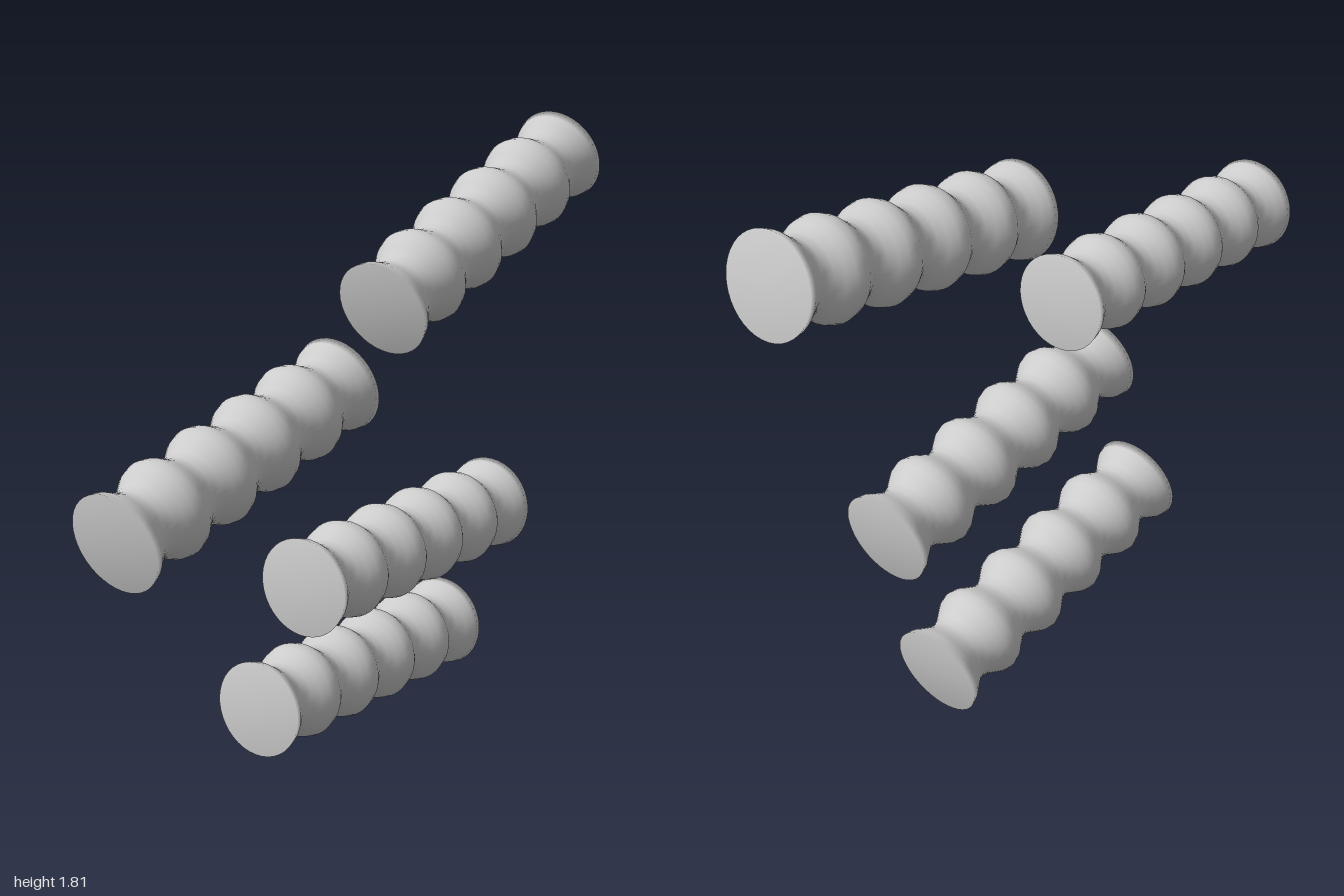
import * as THREE from 'three';

const LENGTH = 0.986, WAVES = 5, STEPS = 8, MEAN_RADIUS = 0.125, RIPPLE = 0.021;

// Closed wavy profile: full radius at both ends, rippling in between
function rollerGeometry() {
  const points = [new THREE.Vector2(0, -LENGTH / 2)];
  const n = WAVES * STEPS;
  for (let i = 0; i <= n; i++) {
    const t = i / n;
    const r = MEAN_RADIUS + RIPPLE * Math.cos(t * WAVES * Math.PI * 2);
    points.push(new THREE.Vector2(r, (t - 0.5) * LENGTH));
  }
  points.push(new THREE.Vector2(0, LENGTH / 2));
  const geometry = new THREE.LatheGeometry(points, 40);
  geometry.rotateZ(-Math.PI / 2); // lay the axis along x
  return geometry;
}

export function createModel() {
  const group = new THREE.Group();
  group.name = 'rippledRollers';
  const material = new THREE.MeshStandardMaterial({ color: 0xcccccc });
  const geometry = rollerGeometry();

  // Name, centre and tilt in degrees of each roller
  const rollers = [
    ['bottomRoller', 0.083, 0.211, -0.075, -7.0],
    ['lowerMiddleRoller', 0.113, 0.657, 0.075, -5.5],
    ['upperMiddleRoller', -0.491, 1.103, -0.075, 8.0],
    ['topRoller', 0.482, 1.549, 0.075, 14.2],
  ];
  for (const [name, x, y, z, tilt] of rollers) {
    const roller = new THREE.Mesh(geometry, material);
    roller.name = name;
    roller.position.set(x, y, z);
    roller.rotation.z = THREE.MathUtils.degToRad(tilt);
    group.add(roller);
  }
  return group;
}
